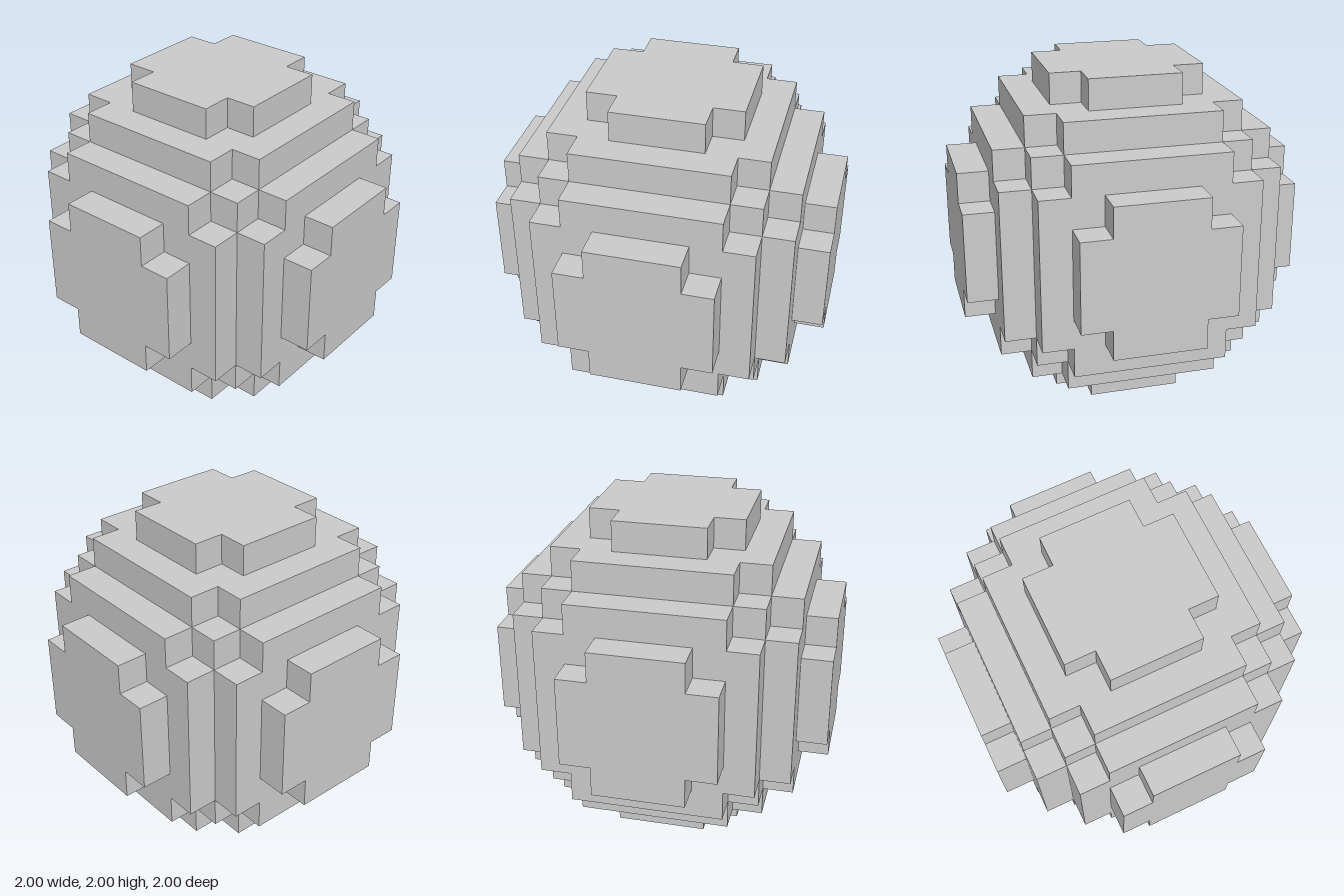
import * as THREE from 'three';
import { mergeGeometries } from 'three/addons/utils/BufferGeometryUtils.js';

const U = 2 / 11;      // edge of one block; the ball is 11 blocks across
const LIMIT = 30;      // squared radius in blocks
const REACH = 5;

// Furthest filled block along a row of a layer, or -1 when the row is empty
function halfRow(layer, row) {
  const rest = LIMIT - layer * layer - row * row;
  return rest < 0 ? -1 : Math.floor(Math.sqrt(rest));
}

// Flat strip covering blocks a0..a1 of a row, on the outer face of a layer
function strip(a0, a1, row, layer) {
  return new THREE.PlaneGeometry((a1 - a0 + 1) * U, U)
    .translate((a0 + a1) / 2 * U, row * U, (layer + 0.5) * U);
}

// All exposed faces that look towards +z: stepped terraces around a raised cap
function terracedSide() {
  const strips = [];
  for (let layer = 0; layer <= REACH; layer++) {
    for (let row = -REACH; row <= REACH; row++) {
      const outer = halfRow(layer, row);
      const covered = halfRow(layer + 1, row);
      if (outer <= covered) continue;
      if (covered < 0) {
        strips.push(strip(-outer, outer, row, layer));
      } else {
        strips.push(strip(covered + 1, outer, row, layer));
        strips.push(strip(-outer, -covered - 1, row, layer));
      }
    }
  }
  return mergeGeometries(strips);
}

export function createModel() {
  const ball = new THREE.Group();
  ball.name = 'blockBall';
  const material = new THREE.MeshStandardMaterial({ color: 0xcccccc, flatShading: true });
  const side = terracedSide();
  const q = Math.PI / 2;

  // The same terraced side turned to all six directions
  const sides = [
    ['frontSide', 0, 0], ['leftSide', 0, q], ['backSide', 0, 2 * q],
    ['rightSide', 0, -q], ['topSide', -q, 0], ['bottomSide', q, 0],
  ];
  for (const [name, rx, ry] of sides) {
    const mesh = new THREE.Mesh(side, material);
    mesh.name = name;
    mesh.rotation.set(rx, ry, 0);
    mesh.position.y = 1;
    ball.add(mesh);
  }
  return ball;
}
